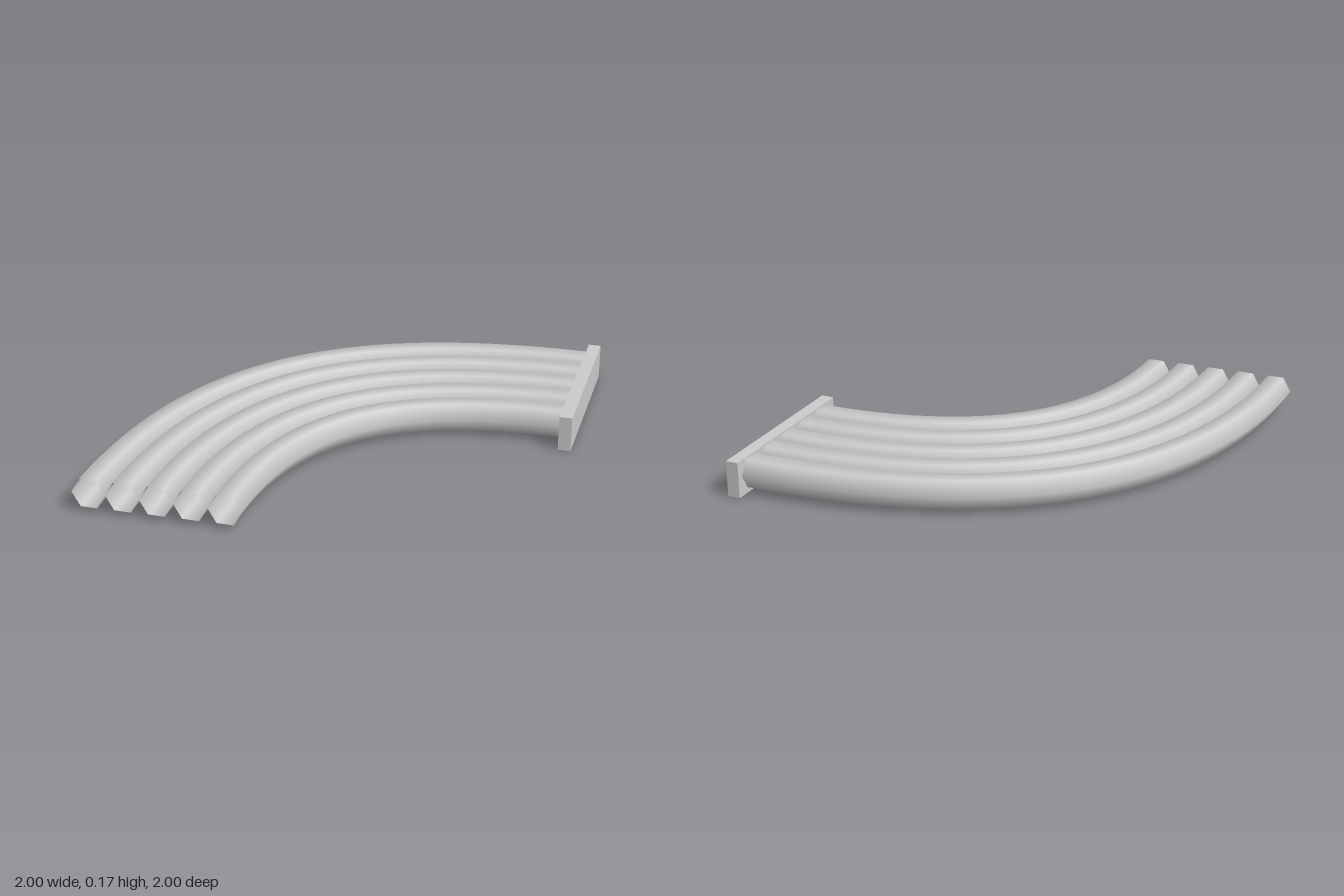
import * as THREE from 'three';

const RADIUS = 0.078;
const PIPE_Y = 0.094;
const UP = new THREE.Vector3(0, 1, 0);

// Bends an open six-sided cylinder along a level curve, one corner pointing sideways
function sweepPipe(curve) {
  const geometry = new THREE.CylinderGeometry(RADIUS, RADIUS, 1, 6, 48, true);
  const pos = geometry.attributes.position;
  const nor = geometry.attributes.normal;
  for (let i = 0; i < pos.count; i++) {
    const t = pos.getY(i) + 0.5;
    const side = new THREE.Vector3().crossVectors(UP, curve.getTangent(t)).normalize();
    const p = curve.getPoint(t).addScaledVector(side, pos.getZ(i)).addScaledVector(UP, pos.getX(i));
    const n = side.multiplyScalar(nor.getZ(i)).addScaledVector(UP, nor.getX(i));
    pos.setXYZ(i, p.x, p.y, p.z);
    nor.setXYZ(i, n.x, n.y, n.z);
  }
  return geometry;
}

export function createModel() {
  const group = new THREE.Group();
  group.name = 'bentPipeBank';
  const plateMaterial = new THREE.MeshStandardMaterial({ color: 0xcccccc });
  const pipeMaterial = new THREE.MeshStandardMaterial({ color: 0xcccccc, side: THREE.DoubleSide });

  // Five nested pipes, from the outermost to the innermost
  for (let i = 0; i < 5; i++) {
    const x = -0.922 + i * 0.155;
    const z = -0.893 + i * 0.157;
    const curve = new THREE.QuadraticBezierCurve3(
      new THREE.Vector3(x, PIPE_Y, 1 - i * 0.005),
      new THREE.Vector3(x, PIPE_Y, z),
      new THREE.Vector3(0.945, PIPE_Y, z)
    );
    const pipe = new THREE.Mesh(sweepPipe(curve), pipeMaterial);
    pipe.name = `pipe${i + 1}`;
    group.add(pipe);
  }

  // Flange plate closing the far ends
  const plate = new THREE.Mesh(new THREE.BoxGeometry(0.06, 0.17, 0.855), plateMaterial);
  plate.name = 'flangePlate';
  plate.position.set(0.97, 0.085, -0.5725);
  group.add(plate);

  return group;
}
